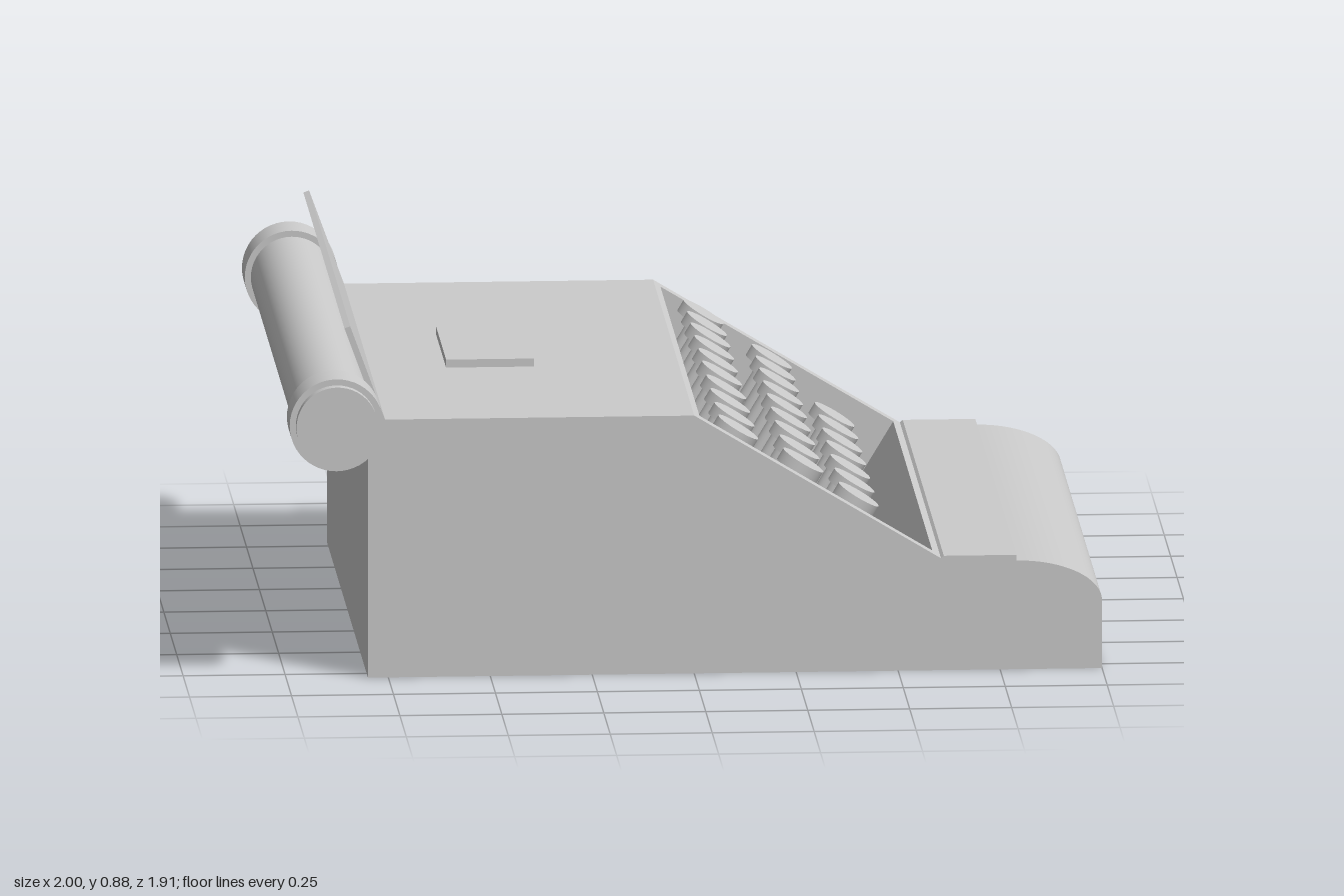
import * as THREE from 'three';
import { toCreasedNormals } from 'three/addons/utils/BufferGeometryUtils.js';

const HALF = 0.8;                       // half width of the body
const TOP = [0, 0.645], FOOT = [0.605, 0.28]; // ends of the sloping key face
const material = new THREE.MeshStandardMaterial({ color: 0xcccccc });
const thin = new THREE.MeshStandardMaterial({ color: 0xcccccc, side: THREE.DoubleSide });

function add(parent, name, geometry, x = 0, y = 0, z = 0, mat = material) {
  const mesh = new THREE.Mesh(geometry, mat);
  mesh.name = name;
  mesh.position.set(x, y, z);
  parent.add(mesh);
  return mesh;
}

// Side profile, counter-clockwise from the top of the slope round to its foot
function bodyProfile() {
  const pts = [TOP, [-0.8, 0.645], [-0.8, 0], [1, 0]];
  for (let i = 0; i <= 16; i++) {
    const a = (i / 16) * Math.PI / 2;
    pts.push([0.79 + 0.21 * Math.cos(a), 0.17 + 0.102 * Math.sin(a)]);
  }
  pts.push([0.79, 0.286], [0.612, 0.286], FOOT);
  return pts;
}

// Skin stretched across the width along an open profile
function ribbon(pts) {
  const v = [];
  for (let i = 0; i < pts.length - 1; i++) {
    const a = pts[i], b = pts[i + 1];
    v.push(...a, HALF, ...a, -HALF, ...b, -HALF, ...a, HALF, ...b, -HALF, ...b, HALF);
  }
  const g = new THREE.BufferGeometry();
  g.setAttribute('position', new THREE.Float32BufferAttribute(v, 3));
  return toCreasedNormals(g, 0.4);
}

function rectangle(PathType, x0, x1, h) {
  return new PathType([[x0, -h], [x1, -h], [x1, h], [x0, h]].map(p => new THREE.Vector2(...p)));
}

// Sloping face with a sunken well; local x runs down the slope, y out of it
function keyboard() {
  const group = new THREE.Group();
  group.name = 'keyboard';
  const dx = FOOT[0] - TOP[0], dy = FOOT[1] - TOP[1], length = Math.hypot(dx, dy);
  group.position.set(...TOP, 0);
  group.rotation.z = Math.atan2(dy, dx);

  const x0 = 0.018, x1 = length - 0.022, depth = 0.26;
  const frame = rectangle(THREE.Shape, 0, length, HALF);
  frame.holes.push(rectangle(THREE.Path, x0, x1, 0.76));
  add(group, 'keyFrame', new THREE.ShapeGeometry(frame).rotateX(-Math.PI / 2));

  // Inside-out box without its lid
  const well = new THREE.BoxGeometry(x1 - x0, depth, 1.52);
  well.setIndex([...well.index.array].filter((_, i) => i < 12 || i > 17));
  well.clearGroups();
  well.scale(-1, 1, 1);
  well.computeVertexNormals();
  add(group, 'keyWell', well, (x0 + x1) / 2, -depth / 2, 0);

  // Three staggered rows of round keys on stems
  const rows = [
    { s: 0.127, h: 0.013, z: [0.685, 0.535, 0.372, 0.212, 0.05, -0.1, -0.252, -0.398, -0.533, -0.67] },
    { s: 0.318, h: 0.013, z: [0.62, 0.465, 0.297, 0.138, -0.02, -0.172, -0.325, -0.462, -0.6] },
    { s: 0.493, h: -0.004, z: [0.537, 0.372, 0.21, 0.047, -0.1, -0.257, -0.402] },
  ];
  const cap = new THREE.CylinderGeometry(0.057, 0.057, 0.03, 32);
  for (const { s, h, z } of rows) {
    const stemLength = depth + h - 0.015;
    const stem = new THREE.CylinderGeometry(0.022, 0.022, stemLength, 20);
    for (const k of z) {
      add(group, 'keyCap', cap, s, h - 0.015, k);
      add(group, 'keyStem', stem, s, -depth + stemLength / 2, k);
    }
  }
  return group;
}

// Roller across the back with a stepped knob at each end
function carriage() {
  const group = new THREE.Group();
  group.name = 'carriage';
  group.position.set(-0.885, 0.66, 0);
  const drum = (name, r, len, z) =>
    add(group, name, new THREE.CylinderGeometry(r, r, len, 48).rotateX(Math.PI / 2), 0, 0, z);
  drum('roller', 0.1, 1.66, 0);
  for (const side of [-1, 1]) {
    drum('knob', 0.115, 0.11, side * 0.875);
    drum('knobCap', 0.1, 0.028, side * 0.942);
  }
  return group;
}

export function createModel() {
  const model = new THREE.Group();
  model.name = 'typewriter';

  // Body shell and its two flat sides
  const profile = bodyProfile();
  add(model, 'bodyShell', ribbon(profile));
  const side = new THREE.ShapeGeometry(new THREE.Shape(profile.map(p => new THREE.Vector2(...p))));
  for (const z of [-HALF, HALF]) add(model, 'bodySide', side, 0, 0, z, thin);

  model.add(keyboard(), carriage());

  // Raised plate on the top cover
  add(model, 'topPlate', new THREE.BoxGeometry(0.215, 0.02, 0.4), -0.463, 0.655, 0);

  // Leaning paper rest in front of the roller
  const rest = add(model, 'paperRest', new THREE.BoxGeometry(0.015, 0.26, 1.6), -0.806, 0.755, 0);
  rest.rotation.z = 0.35;

  return model;
}
